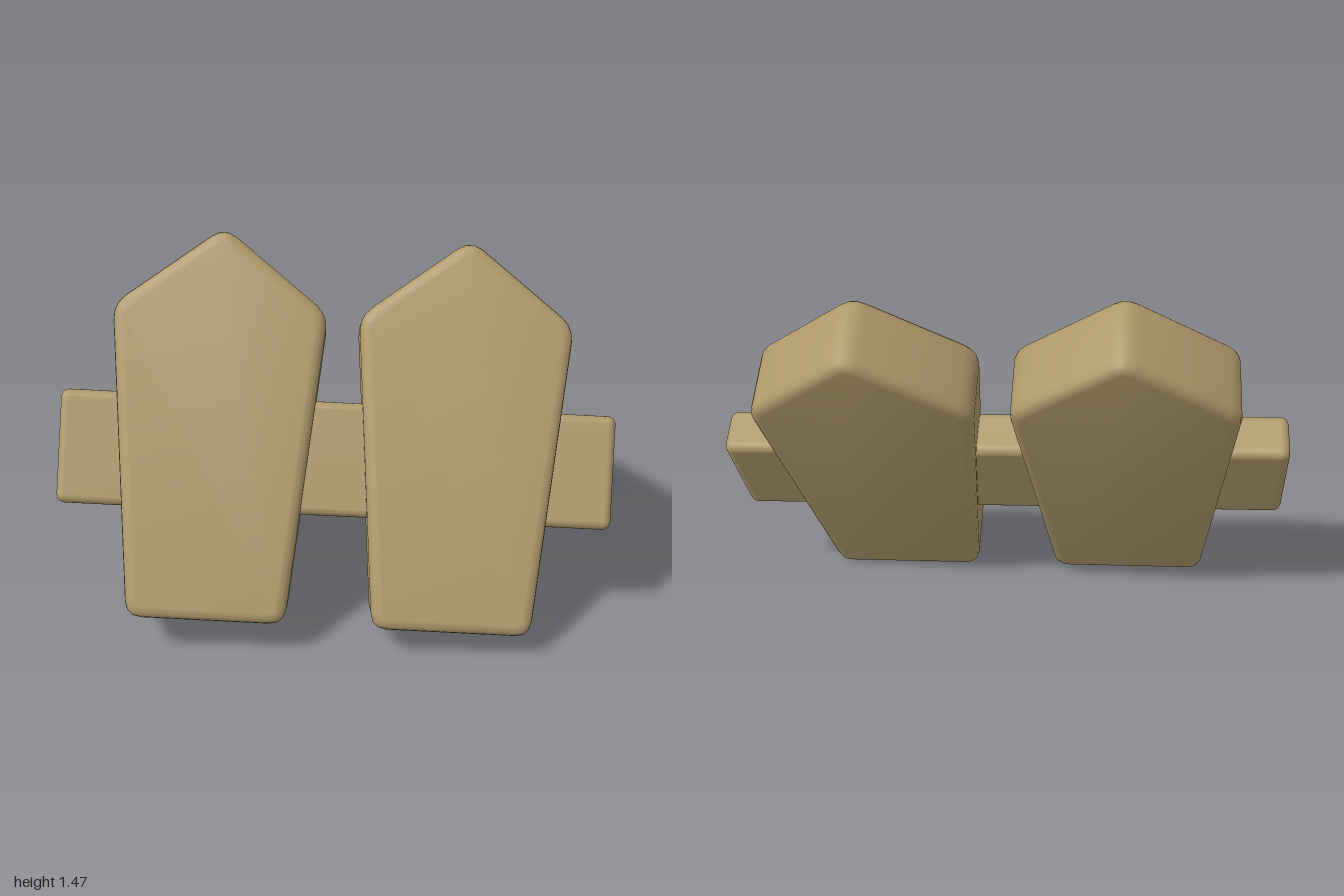
import * as THREE from 'three';
import { toCreasedNormals } from 'three/addons/utils/BufferGeometryUtils.js';
import { RoundedBoxGeometry } from 'three/addons/geometries/RoundedBoxGeometry.js';

// Closed outline whose corners are softened by distance d
function roundedOutline(corners, d) {
  const pts = corners.map(([x, y]) => new THREE.Vector2(x, y));
  const shape = new THREE.Shape();
  pts.forEach((p, i) => {
    const toward = (q) => q.clone().sub(p).setLength(d).add(p);
    const a = toward(pts[(i + pts.length - 1) % pts.length]);
    const b = toward(pts[(i + 1) % pts.length]);
    if (i === 0) shape.moveTo(a.x, a.y);
    else shape.lineTo(a.x, a.y);
    shape.quadraticCurveTo(p.x, p.y, b.x, b.y);
  });
  shape.closePath();
  return shape;
}

export function createModel() {
  const wood = new THREE.MeshStandardMaterial({ color: 0xae986a });
  wood.name = 'tan wood';

  const model = new THREE.Group();
  model.name = 'fencePiece';

  // Pickets: pointed boards that narrow to the foot, with bevelled edges
  const thickness = 0.3;
  const bevel = 0.038;
  const outline = roundedOutline(
    [[-0.3, -0.632], [0.3, -0.632], [0.406, 0.545], [0, 0.855], [-0.406, 0.545]], 0.06);
  const extruded = new THREE.ExtrudeGeometry(outline, {
    depth: thickness - 2 * bevel,
    bevelThickness: bevel,
    bevelSize: bevel,
    bevelOffset: -bevel,
    bevelSegments: 3,
    curveSegments: 3,
  });
  extruded.translate(0, 0, bevel - thickness / 2);
  const picketGeometry = toCreasedNormals(extruded, 0.7);
  for (const [name, x] of [['rightPicket', -0.465], ['leftPicket', 0.465]]) {
    const picket = new THREE.Mesh(picketGeometry, wood);
    picket.name = name;
    picket.position.set(x, 0, 0.005);
    model.add(picket);
  }

  // Crossbar running through both pickets
  const bar = new THREE.Mesh(new RoundedBoxGeometry(2.12, 0.435, 0.18, 3, 0.032), wood);
  bar.name = 'crossbar';
  model.add(bar);

  // Lean the whole fence back and turn it
  const across = new THREE.Vector3(0.88, -0.048, 0.467).normalize();
  const up = new THREE.Vector3(0.254, 0.891, -0.376);
  const out = across.clone().cross(up).normalize();
  up.crossVectors(out, across);
  model.quaternion.setFromRotationMatrix(new THREE.Matrix4().makeBasis(across, up, out));
  model.position.y = 0.655;

  const root = new THREE.Group();
  root.name = 'brokenFence';
  root.add(model);
  return root;
}
